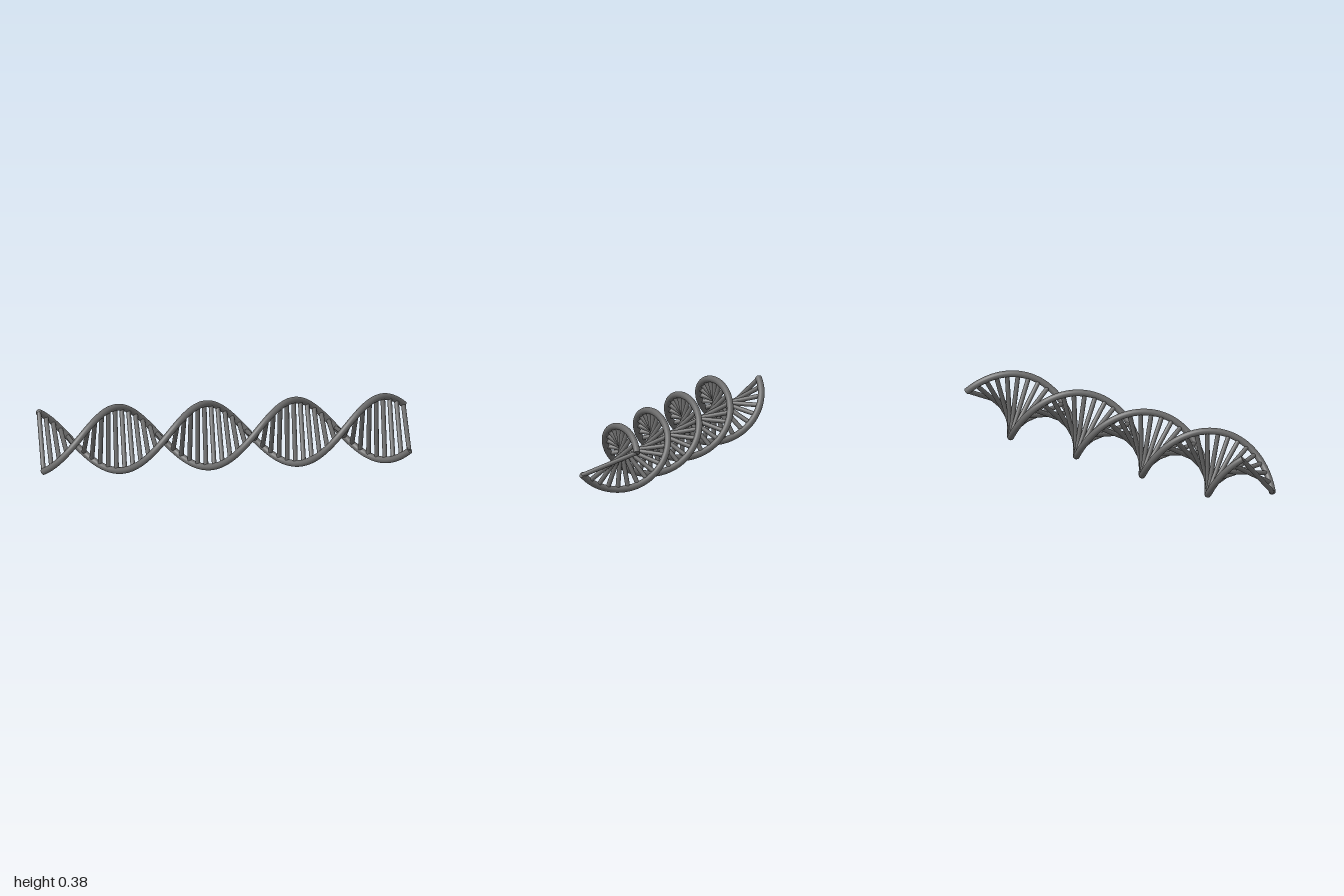
import * as THREE from 'three';

const RADIUS = 0.17, TUBE = 0.018, RUNG = 0.0125;
const HALF_LENGTH = 0.986, HALF_PITCH = 0.478, CREST = 0.81, RUNGS = 50;
const CENTRE_Y = RADIUS + TUBE;

// Point on a strand at position x; side is +1 or -1 for the two opposite strands
function helixPoint(x, side) {
  const a = Math.PI * (x - CREST) / HALF_PITCH;
  return new THREE.Vector3(x, CENTRE_Y + side * RADIUS * Math.cos(a), -side * RADIUS * Math.sin(a));
}

class StrandCurve extends THREE.Curve {
  constructor(side) {
    super();
    this.side = side;
  }
  getPoint(t, target = new THREE.Vector3()) {
    return target.copy(helixPoint(HALF_LENGTH * (2 * t - 1), this.side));
  }
}

export function createModel() {
  const group = new THREE.Group();
  group.name = 'doubleHelix';
  const grey = new THREE.MeshStandardMaterial({ color: 0x696969 });
  grey.name = 'dark grey';

  const add = (geometry, name) => {
    const mesh = new THREE.Mesh(geometry, grey);
    mesh.name = name;
    group.add(mesh);
    return mesh;
  };

  // Two opposite strands with closed ends
  for (const side of [1, -1]) {
    const curve = new StrandCurve(side);
    add(new THREE.TubeGeometry(curve, 200, TUBE, 20), 'strand');
    for (const t of [0, 1]) {
      const cap = add(new THREE.CircleGeometry(TUBE, 20), 'strandCap');
      const outward = curve.getTangent(t).multiplyScalar(t ? 1 : -1);
      cap.position.copy(curve.getPoint(t));
      cap.quaternion.setFromUnitVectors(new THREE.Vector3(0, 0, 1), outward);
    }
  }

  // Evenly spaced rungs joining the strands
  const rungGeometry = new THREE.CylinderGeometry(RUNG, RUNG, 2 * RADIUS, 16);
  for (let i = 0; i < RUNGS; i++) {
    const x = (HALF_LENGTH - 0.003) * (2 * i / (RUNGS - 1) - 1);
    const direction = helixPoint(x, 1).sub(helixPoint(x, -1)).normalize();
    const rung = add(rungGeometry, 'rung');
    rung.position.set(x, CENTRE_Y, 0);
    rung.quaternion.setFromUnitVectors(new THREE.Vector3(0, 1, 0), direction);
  }
  return group;
}
